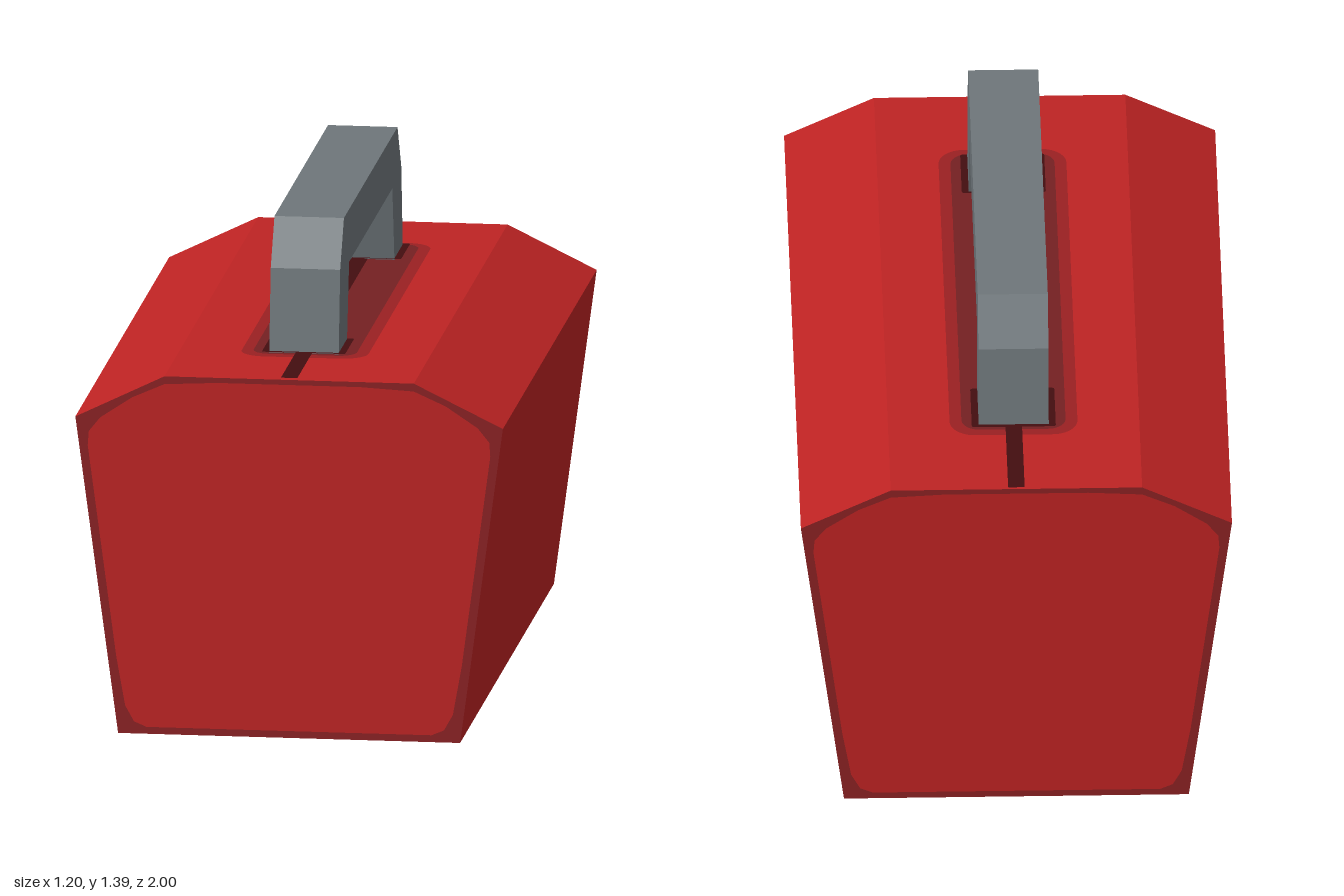
import * as THREE from 'three';

const mat = (name, color) => {
  const m = new THREE.MeshStandardMaterial({ color });
  m.name = name;
  return m;
};

const polygon = (pts) => new THREE.Shape(pts.map(([x, y]) => new THREE.Vector2(x, y)));

// Closed outline from its right half, listed bottom to top
const mirrored = (half) => polygon([...half, ...half.map(([x, y]) => [-x, y]).reverse()]);

function roundedRect(w, h, r) {
  const s = new THREE.Shape();
  s.absarc(w - r, h - r, r, 0, Math.PI / 2);
  s.absarc(-w + r, h - r, r, Math.PI / 2, Math.PI);
  s.absarc(-w + r, -h + r, r, Math.PI, Math.PI * 1.5);
  s.absarc(w - r, -h + r, r, Math.PI * 1.5, Math.PI * 2);
  return s;
}

export function createModel() {
  const group = new THREE.Group();
  const red = mat('red paint', 0xbe2323);
  const worn = mat('dark red edge', 0x8a2123);
  const halo = mat('recess rim red', 0x9a2022);
  const recess = mat('recess red', 0x752022);
  const dark = mat('seam dark red', 0x430e10);
  const steel = mat('grey handle', 0x6e767a);

  const add = (name, geometry, material) => {
    const mesh = new THREE.Mesh(geometry, material);
    mesh.name = name;
    group.add(mesh);
    return mesh;
  };
  const extrude = (shape, depth) =>
    new THREE.ExtrudeGeometry(shape, { depth, bevelEnabled: false, curveSegments: 6 })
      .translate(0, 0, -depth / 2);

  // Box body: dark edge colour on the ends, red along the sides
  const top = 1.022;
  const profile = mirrored([[0.48, 0], [0.6, 0.9], [0.35, top]]);
  add('body', extrude(profile, 1.996), [worn, red]);

  // Red panels set inside the dark borders of both ends
  const panel = mirrored([
    [0.4, 0.02], [0.435, 0.035], [0.46, 0.08], [0.485, 0.22], [0.565, 0.82],
    [0.562, 0.86], [0.53, 0.9], [0.44, 0.96], [0.35, 1.0], [0.2, 1.008],
  ]);
  for (const [name, turn] of [['frontPanel', 0], ['backPanel', Math.PI]]) {
    const g = new THREE.ShapeGeometry(panel).translate(0, 0, 1).rotateY(turn);
    add(name, g, red);
  }

  // Painted layers on the lid: recess, seam and handle sockets
  const lidPlate = (name, shape, height, z, material) =>
    add(name, new THREE.ShapeGeometry(shape, 6).rotateX(-Math.PI / 2)
      .translate(0, top + height, z), material);
  lidPlate('recessRim', roundedRect(0.178, 0.725, 0.07), 0.002, 0, halo);
  lidPlate('recessFloor', roundedRect(0.145, 0.7, 0.05), 0.004, 0, recess);
  lidPlate('lidSeam', roundedRect(0.023, 0.998, 0.002), 0.006, 0, dark);
  for (const s of [1, -1]) {
    lidPlate(s > 0 ? 'frontSocket' : 'backSocket',
      roundedRect(0.117, 0.098, 0.008), 0.008, s * 0.595, dark);
  }

  // Carrying handle, drawn from the side and extruded across
  const handle = mirrored([
    [0.46, 1.24], [0.505, top], [0.682, top], [0.65, 1.26], [0.57, 1.39],
  ]);
  add('handle', extrude(handle, 0.195).rotateY(-Math.PI / 2), steel);

  return group;
}
